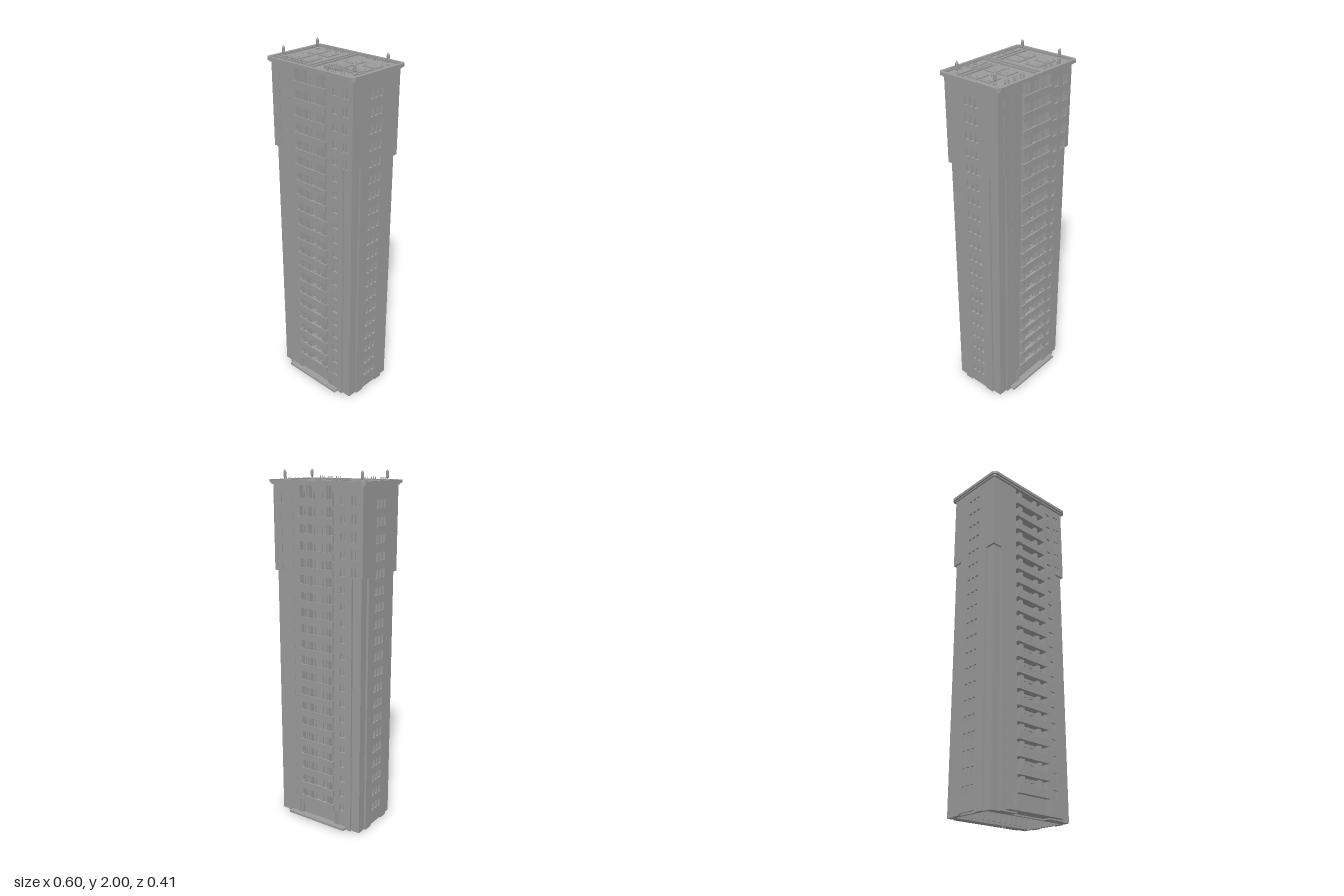
import * as THREE from 'three';

const mat = new THREE.MeshStandardMaterial({ color: 0x9a9a9a, flatShading: true });
const FLOORS = 20, PITCH = 0.0905, TOP = 1.927, STEP = 1.465;
const HX = 0.284, HZ = 0.175, WALL = 0.012; // half sizes of the tower, cladding depth

function add(parent, name, geometry, x = 0, y = 0, z = 0) {
  const mesh = new THREE.Mesh(geometry, mat);
  mesh.name = name;
  mesh.position.set(x, y, z);
  parent.add(mesh);
  return mesh;
}

// Box given by its min and max on each axis
function block(parent, name, x0, x1, y0, y1, z0, z1) {
  return add(parent, name, new THREE.BoxGeometry(x1 - x0, y1 - y0, z1 - z0),
    (x0 + x1) / 2, (y0 + y1) / 2, (z0 + z1) / 2);
}

const points = (list) => list.map(([x, y]) => new THREE.Vector2(x, y));
const rect = (cx, cy, w, h) => points([
  [cx - w / 2, cy - h / 2], [cx - w / 2, cy + h / 2], [cx + w / 2, cy + h / 2], [cx + w / 2, cy - h / 2]]);

function extrude(outline, holes, depth) {
  const shape = new THREE.Shape(outline);
  holes.forEach((h) => shape.holes.push(new THREE.Path(h)));
  return new THREE.ExtrudeGeometry(shape, { depth, bevelEnabled: false });
}

// Horizontal plate from a plan outline
function plate(parent, name, outline, holes, y0, y1) {
  const g = extrude(outline, holes, y1 - y0);
  g.rotateX(-Math.PI / 2);
  return add(parent, name, g, 0, y0, 0);
}

function chamferedPlan(x, z, c) {
  return points([[x - c, -z], [x, -z + c], [x, z - c], [x - c, z], [-x + c, z], [-x, z - c], [-x, -z + c], [-x + c, -z]]);
}

// Balcony facade, used for the front and the back
function createFacade() {
  const g = new THREE.Group();
  for (const s of [-1, 1]) {
    // Cladding wing: narrow below, out to the corner above
    const holes = [];
    for (let i = 0; i < FLOORS; i++) {
      const y = 0.133 + i * PITCH;
      holes.push(rect(s * 0.165, y, 0.034, 0.038));
      block(g, 'windowMullion', s * 0.165 - 0.0015, s * 0.165 + 0.0015, y - 0.019, y + 0.019, 0.162, 0.167);
      if (i >= 15) {
        for (const dx of [-0.011, 0.011]) holes.push(rect(s * 0.235 + dx, y + 0.004, 0.017, 0.05));
      }
    }
    const outline = points([[0.11, 0], [0.22, 0], [0.22, STEP], [HX, STEP], [HX, TOP], [0.11, TOP]].map(([x, y]) => [s * x, y]));
    add(g, 'facadeWing', extrude(outline, holes, WALL), 0, 0, HZ - WALL);
    // Ribbed post dividing the loggias
    for (const dx of [-0.008, 0, 0.008]) {
      block(g, 'loggiaRib', s * 0.062 + dx - 0.002, s * 0.062 + dx + 0.002, 0.1, TOP, 0.135, 0.17);
    }
    for (const x of [0.116, 0.126, 0.136]) block(g, 'entrancePier', s * x - 0.003, s * x + 0.003, 0.02, 0.11, 0.165, 0.18);
  }

  // Wall behind the balconies with doors and windows
  const doors = [];
  for (let i = 0; i < FLOORS; i++) {
    const y = 0.143 + i * PITCH;
    for (const x of [-0.091, -0.026, 0.026, 0.091]) doors.push(rect(x, y, 0.028, 0.06));
  }
  add(g, 'loggiaWall', extrude(points([[-0.11, 0.1], [0.11, 0.1], [0.11, TOP], [-0.11, TOP]]), doors, 0.01), 0, 0, 0.134);

  for (let i = 0; i < FLOORS; i++) {
    const y = 0.12 + i * PITCH;
    block(g, 'balconyFloor', -0.11, 0.11, y - 0.021, y - 0.013, 0.135, 0.19);
    block(g, 'balconyRail', -0.11, 0.11, y - 0.021, y + 0.021, 0.184, 0.19);
    for (const s of [-1, 1]) {
      block(g, 'balconyEnd', s * 0.107 - 0.003, s * 0.107 + 0.003, y - 0.021, y + 0.021, 0.165, 0.186);
    }
  }

  // Entrance and its step
  block(g, 'entranceLobby', -0.108, 0.108, 0.012, 0.1, 0.12, 0.165);
  for (let i = -6; i <= 6; i++) block(g, 'groundFloorPilaster', i * 0.038 - 0.006, i * 0.038 + 0.006, 0.012, 0.1, 0.108, 0.122);
  block(g, 'entranceStep', -0.192, 0.192, 0.007, 0.02, 0.135, 0.205);
  return g;
}

// End wall with three narrow panes on each floor
function createEndWall() {
  const g = new THREE.Group();
  const holes = [];
  for (let i = 0; i < FLOORS; i++) {
    for (const x of [-0.034, 0, 0.034]) holes.push(rect(x, 0.115 + i * PITCH, 0.024, 0.044));
  }
  const w = HZ - WALL;
  const outline = points([[-0.11, 0], [-0.06, 0], [-0.055, 0.01], [0.055, 0.01], [0.06, 0], [0.11, 0],
    [0.11, STEP], [w, STEP], [w, TOP], [-w, TOP], [-w, STEP], [-0.11, STEP]]);
  add(g, 'endCladding', extrude(outline, holes, WALL), 0, 0, HX - WALL);
  return g;
}

function createRoof() {
  const g = new THREE.Group();
  const floor = 1.938;
  plate(g, 'corniceLower', chamferedPlan(0.293, 0.187, 0.01), [], 1.925, 1.933);
  plate(g, 'corniceUpper', chamferedPlan(0.302, 0.198, 0.016), [], 1.933, floor);
  plate(g, 'parapet', chamferedPlan(0.302, 0.198, 0.016), [rect(0, 0, 0.57, 0.364)], floor, 1.95);
  plate(g, 'parapetInnerCurb', rect(0, 0, 0.57, 0.364).reverse(), [rect(0, 0, 0.562, 0.354)], floor, 1.945);

  // Long ducts
  for (const [x0, x1, z0, z1] of [[-0.04, -0.03, -0.177, 0.175], [-0.012, -0.001, -0.177, 0.175],
    [0.037, 0.281, 0.069, 0.079], [0.037, 0.281, 0.098, 0.107], [-0.281, -0.04, 0.106, 0.115], [-0.281, -0.04, 0.134, 0.143]]) {
    block(g, 'roofDuct', x0, x1, floor, 1.946, z0, z1);
  }
  for (let i = 0; i < 16; i++) {
    const x = 0.046 + i * 0.006;
    for (const z of [0.087, 0.115]) block(g, 'louvre', x - 0.0018, x + 0.0018, floor, 1.95, z - 0.009, z + 0.009);
  }
  for (const x of [0.139, 0.153]) block(g, 'louvreEnd', x - 0.002, x + 0.002, floor, 1.95, 0.069, 0.124);

  // Equipment pads with small vents
  const vent = new THREE.CylinderGeometry(0.002, 0.0046, 0.012, 8);
  const pads = [];
  for (const z of [[-0.118, -0.031], [0.008, 0.095]]) for (const x of [[-0.223, -0.159], [-0.145, -0.081]]) pads.push([...x, ...z]);
  for (const z of [[-0.09, -0.027], [-0.012, 0.053]]) for (const x of [[0.036, 0.123], [0.163, 0.248]]) pads.push([...x, ...z]);
  for (const [x0, x1, z0, z1] of pads) {
    block(g, 'equipmentPad', x0, x1, floor, 1.944, z0, z1);
    const m = 0.01;
    const corners = [[x1 - m, z0 + m], [x1 - m, z1 - m], x0 < 0 ? [x0 + m, z0 + m] : [x0 + m + 0.004, z1 - m]];
    for (const [x, z] of corners) add(g, 'padVent', vent, x, 1.949, z);
  }

  // Rows of short pipes along both long edges
  const pipe = new THREE.CylinderGeometry(0.002, 0.003, 0.024, 8);
  for (const z of [-0.155, 0.155]) {
    for (const x of [-0.199, -0.141, -0.092, 0.088, 0.138, 0.197]) {
      for (const d of [-0.0125, 0, 0.0125]) add(g, 'ventPipe', pipe, x + d, 1.95, z);
    }
  }

  // Corner masts
  const profile = points([[0, 0], [0.008, 0], [0.008, 0.01], [0.004, 0.014], [0.004, 0.02], [0.008, 0.024], [0.008, 0.052], [0.003, 0.062], [0, 0.062]]);
  const mast = new THREE.LatheGeometry(profile, 10);
  for (const x of [-0.245, 0.245]) for (const z of [-0.123, 0.123]) add(g, 'cornerMast', mast, x, floor, z);
  return g;
}

export function createModel() {
  const model = new THREE.Group();
  model.name = 'towerBlock';

  // Core with a balcony recess on both long sides, over a hollow ground floor
  const cx = HX - WALL, cz = HZ - WALL;
  const plan = points([[cx, -cz], [cx, cz], [0.11, cz], [0.11, 0.134], [-0.11, 0.134], [-0.11, cz],
    [-cx, cz], [-cx, -cz], [-0.11, -cz], [-0.11, -0.134], [0.11, -0.134], [0.11, -cz]]);
  plate(model, 'core', plan, [], 0.1, TOP);
  plate(model, 'groundFloorWalls', plan, [rect(0, 0, 0.51, 0.24)], 0, 0.1);

  for (const [name, turn] of [['front', 0], ['back', Math.PI]]) {
    const facade = createFacade();
    facade.name = name + 'Facade';
    facade.rotation.y = turn;
    model.add(facade);
  }
  for (const [name, turn] of [['left', 1], ['right', -1]]) {
    const end = createEndWall();
    end.name = name + 'EndWall';
    end.rotation.y = turn * Math.PI / 2;
    model.add(end);
  }
  const roof = createRoof();
  roof.name = 'roof';
  model.add(roof);
  return model;
}
